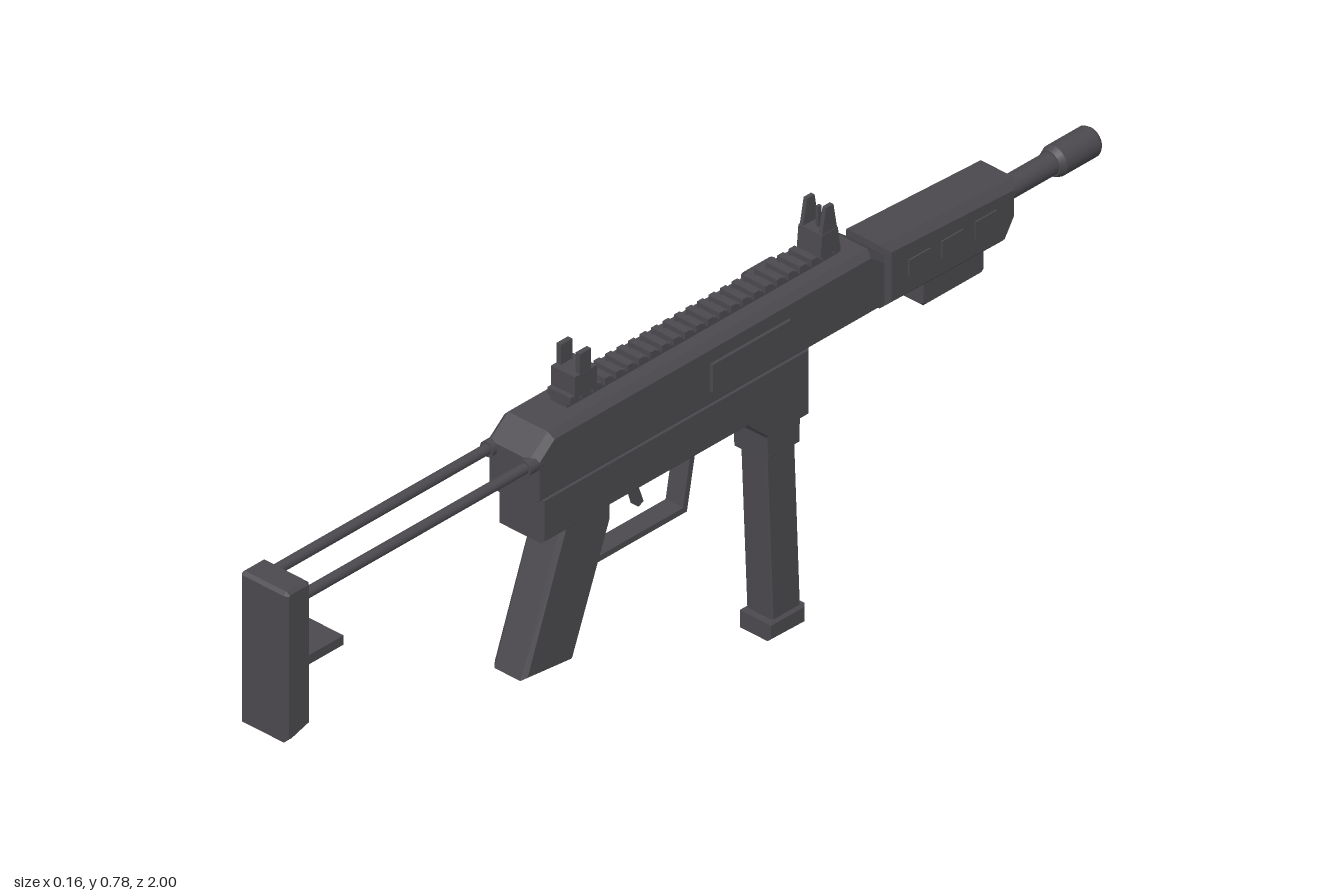
import * as THREE from 'three';

const CX = 0.015; // centre plane of the body

export function createModel() {
  const model = new THREE.Group();
  model.name = 'compactCarbine';
  const gunmetal = new THREE.MeshStandardMaterial({ color: 0x4b494e });
  gunmetal.name = 'gunmetal';

  function add(name, geometry, parent = model) {
    const mesh = new THREE.Mesh(geometry, gunmetal);
    mesh.name = name;
    parent.add(mesh);
    return mesh;
  }

  // Side profile of [z, y] points, extruded across x with chamfered edges
  function profile(name, points, x0, x1, bevel = 0, parent = model) {
    const shape = new THREE.Shape(points.map(([z, y]) => new THREE.Vector2(-z, y)));
    const geometry = new THREE.ExtrudeGeometry(shape, {
      depth: x1 - x0 - 2 * bevel,
      bevelEnabled: bevel > 0,
      bevelThickness: bevel,
      bevelSize: bevel,
      bevelOffset: -bevel,
      bevelSegments: 1,
    });
    geometry.rotateY(Math.PI / 2).translate(x0 + bevel, 0, 0);
    return add(name, geometry, parent);
  }

  // Box given by its limits
  function box(name, x0, x1, y0, y1, z0, z1, parent = model) {
    const geometry = new THREE.BoxGeometry(x1 - x0, y1 - y0, z1 - z0);
    geometry.translate((x0 + x1) / 2, (y0 + y1) / 2, (z0 + z1) / 2);
    return add(name, geometry, parent);
  }

  // Cylinder lying along z
  function rod(name, x, y, z0, z1, r, sides = 20, parent = model) {
    const geometry = new THREE.CylinderGeometry(r, r, z1 - z0, sides);
    geometry.rotateX(Math.PI / 2).translate(x, y, (z0 + z1) / 2);
    return add(name, geometry, parent);
  }

  // Receiver
  profile('upperReceiver', [
    [0.404, 0.546], [0.404, 0.638], [0.36, 0.674], [-0.412, 0.674], [-0.453, 0.642], [-0.453, 0.546],
  ], -0.042, 0.072, 0.012);
  profile('lowerReceiver', [
    [0.378, 0.55], [-0.268, 0.55], [-0.268, 0.418], [-0.165, 0.418], [-0.115, 0.463], [0.378, 0.463],
  ], -0.036, 0.066, 0.004);
  profile('ejectionPort', [
    [-0.02, 0.58], [-0.02, 0.636], [-0.21, 0.636], [-0.21, 0.58],
  ], 0.069, 0.076, 0.002);
  box('chargingSlot', -0.045, -0.04, 0.625, 0.64, -0.32, 0.0);

  // Charging handle
  const handle = new THREE.Group();
  handle.name = 'chargingHandle';
  model.add(handle);
  rod('handleKnob', -0.063, 0.631, -0.318, -0.254, 0.016, 16, handle);
  box('handleStem', -0.055, -0.035, 0.621, 0.641, -0.3, -0.272, handle);

  // Handguard with side vents and the block below it
  profile('handguard', [
    [-0.45, 0.535], [-0.45, 0.659], [-0.774, 0.643], [-0.774, 0.575], [-0.745, 0.53],
  ], -0.037, 0.066, 0.014);
  for (const z of [-0.53, -0.61, -0.69]) {
    const vent = [[z + 0.026, 0.578], [z + 0.026, 0.612], [z - 0.026, 0.612], [z - 0.026, 0.588], [z - 0.016, 0.578]];
    profile('ventLeft', vent, 0.064, 0.069);
    profile('ventRight', vent, -0.04, -0.035);
  }
  profile('underBlock', [
    [-0.56, 0.535], [-0.56, 0.488], [-0.567, 0.482], [-0.705, 0.482], [-0.712, 0.488], [-0.712, 0.535],
  ], -0.015, 0.045, 0.004);

  // Barrel and muzzle
  rod('barrel', CX, 0.594, -0.93, -0.76, 0.021);
  const muzzle = new THREE.LatheGeometry([
    [0, 0.9], [0.024, 0.9], [0.024, 0.9], [0.029, 0.912], [0.029, 0.912],
    [0.029, 0.994], [0.029, 0.994], [0.025, 1], [0.025, 1], [0, 1],
  ].map(([r, h]) => new THREE.Vector2(r, h)), 20);
  muzzle.rotateX(-Math.PI / 2).translate(CX, 0.594, 0);
  add('muzzle', muzzle);

  // Top rail
  const rail = new THREE.Group();
  rail.name = 'topRail';
  model.add(rail);
  box('railBase', -0.004, 0.034, 0.668, 0.686, -0.367, 0.285, rail);
  const teeth = 24;
  for (let i = 0; i < teeth; i++) {
    const z = -0.36 + (i * 0.638) / (teeth - 1);
    box('railTooth', -0.011, 0.041, 0.682, 0.696, z - 0.007, z + 0.007, rail);
  }

  // Rear sight: block with two blades
  const rearSight = new THREE.Group();
  rearSight.name = 'rearSight';
  model.add(rearSight);
  box('rearSightBase', -0.012, 0.042, 0.69, 0.733, 0.222, 0.275, rearSight);
  // Front sight: block with two tapered ears and a post
  const frontSight = new THREE.Group();
  frontSight.name = 'frontSight';
  model.add(frontSight);
  profile('frontSightBase', [
    [-0.318, 0.69], [-0.322, 0.733], [-0.36, 0.733], [-0.366, 0.69],
  ], -0.012, 0.042, 0, frontSight);
  box('frontSightPost', CX - 0.003, CX + 0.003, 0.73, 0.772, -0.346, -0.338, frontSight);
  for (const side of [-1, 1]) {
    const x = CX + side * 0.0215;
    box('rearSightBlade', x - 0.005, x + 0.005, 0.73, 0.772, 0.235, 0.262, rearSight);
    profile('frontSightEar', [
      [-0.323, 0.73], [-0.333, 0.782], [-0.351, 0.782], [-0.36, 0.73],
    ], x - 0.004, x + 0.004, 0, frontSight);
  }

  // Pistol grip
  profile('grip', [
    [0.31, 0.47], [0.195, 0.47], [0.195, 0.425], [0.288, 0.187], [0.41, 0.2], [0.335, 0.405],
  ], -0.022, 0.053, 0.008);

  // Trigger and guard
  profile('trigger', [
    [0.122, 0.47], [0.104, 0.47], [0.102, 0.43], [0.09, 0.396], [0.102, 0.39], [0.113, 0.425],
  ], 0.006, 0.024);
  profile('triggerGuard', [
    [0.23, 0.348], [0.006, 0.348], [-0.016, 0.47], [-0.028, 0.47], [-0.003, 0.337], [0.23, 0.337],
  ], -0.005, 0.035);

  // Magazine
  profile('magazineWell', [
    [-0.172, 0.425], [-0.176, 0.362], [-0.258, 0.362], [-0.26, 0.425],
  ], -0.024, 0.054, 0.004);
  profile('magazine', [
    [-0.184, 0.37], [-0.199, 0.03], [-0.268, 0.03], [-0.254, 0.37],
  ], -0.015, 0.045, 0.003);
  profile('magazineBase', [
    [-0.185, 0.002], [-0.185, 0.036], [-0.274, 0.036], [-0.274, 0],
  ], -0.02, 0.051, 0.004);

  // Wire stock
  for (const x of [-0.028, 0.058]) {
    rod('stockRod', x, 0.626, 0.38, 0.95, 0.01, 12);
    rod('rodCollar', x, 0.626, 0.38, 0.414, 0.015, 12);
  }
  profile('buttPlate', [
    [0.94, 0.375], [0.94, 0.65], [0.947, 0.656], [0.994, 0.656], [1, 0.65], [1, 0.362], [0.985, 0.362],
  ], -0.038, 0.069, 0.006);
  box('stockShelf', -0.028, 0.056, 0.481, 0.499, 0.848, 0.945);

  return model;
}
